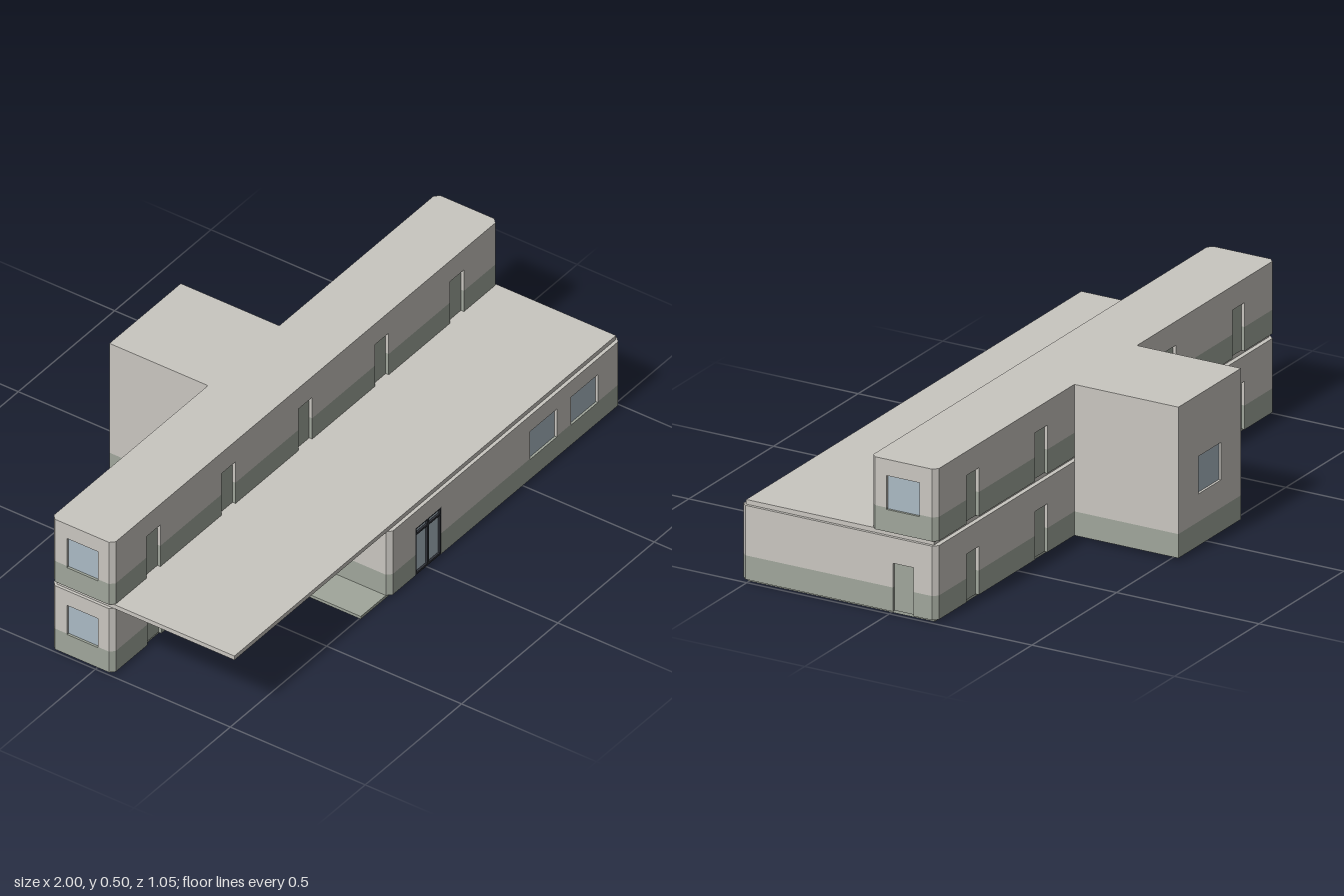
import * as THREE from 'three';

const mat = (name, color) => new THREE.MeshStandardMaterial({ name, color });
const T = 0.015; // wall thickness, also the corner chamfer

// wall facing: rotation, and sign from world axis to the wall's own horizontal axis
const FACE = {
  front: { rot: 0, s: 1, alongX: true },
  back: { rot: Math.PI, s: -1, alongX: true },
  right: { rot: Math.PI / 2, s: -1, alongX: false },
  left: { rot: -Math.PI / 2, s: 1, alongX: false },
};

export function createModel() {
  const plaster = mat('plaster', 0xc9c6c0);
  const green = mat('greenGrey', 0xa0a69b);
  const glass = mat('glass', 0xabbac4);
  const dark = mat('darkFrame', 0x2e3138);

  const model = new THREE.Group();
  model.name = 'building';

  // box given by its limits
  function box(parent, name, m, x0, x1, y0, y1, z0, z1) {
    const mesh = new THREE.Mesh(new THREE.BoxGeometry(x1 - x0, y1 - y0, z1 - z0), m);
    mesh.position.set((x0 + x1) / 2, (y0 + y1) / 2, (z0 + z1) / 2);
    mesh.name = name;
    parent.add(mesh);
    return mesh;
  }

  // runs a builder for the painted base band and for the plaster above it
  function banded(y0, y1, bandTop, build) {
    if (y0 < bandTop) build(green, y0, Math.min(y1, bandTop));
    if (y1 > bandTop) build(plaster, Math.max(y0, bandTop), y1);
  }

  // wall with recessed openings; a0..a1 is its world range, at its outer plane
  function wall(name, face, a0, a1, at, y0, y1, bandTop, openings = []) {
    const { rot, s, alongX } = FACE[face];
    const mid = (a0 + a1) / 2, half = (a1 - a0) / 2;
    const g = new THREE.Group();
    g.name = name;
    g.rotation.y = rot;
    g.position.set(alongX ? mid : at, 0, alongX ? at : mid);
    model.add(g);
    const panel = (u0, u1, v0, v1) => {
      if (u1 - u0 < 1e-4 || v1 - v0 < 1e-4) return;
      banded(v0, v1, bandTop, (m, b, t) => box(g, 'wallPanel', m, u0, u1, b, t, -T, 0));
    };
    let u = -half;
    const list = openings.map(o => ({ ...o, u: s * (o.c - mid) })).sort((a, b) => a.u - b.u);
    for (const o of list) {
      const l = o.u - o.w / 2, r = o.u + o.w / 2;
      panel(u, l, y0, y1);
      panel(l, r, y0, o.y0);
      panel(l, r, o.y1, y1);
      box(g, o.glazed ? 'windowPane' : 'door', o.glazed ? glass : green,
        l, r, o.y0, o.y1, -T, o.glazed ? -0.008 : -0.011);
      u = r;
    }
    panel(u, half, y0, y1);
    return g;
  }

  // chamfered corner whose outer planes meet at x, z
  function corner(x, z, y0, y1, bandTop) {
    const ix = x - Math.sign(x) * T, iz = z - Math.sign(z) * T;
    cornerPost(ix, iz, x, z, y0, y1, bandTop);
  }
  function cornerPost(ix, iz, x, z, y0, y1, bandTop) {
    const shape = new THREE.Shape([[ix, -iz], [x, -iz], [ix, -z]].map(p => new THREE.Vector2(...p)));
    banded(y0, y1, bandTop, (m, b, t) => {
      const geo = new THREE.ExtrudeGeometry(shape, { depth: t - b, bevelEnabled: false });
      geo.rotateX(-Math.PI / 2);
      const post = new THREE.Mesh(geo, m);
      post.position.y = b;
      post.name = 'cornerPost';
      model.add(post);
    });
  }

  const door = (c, base) => ({ c, w: 0.072, y0: base, y1: base + 0.157 });
  const win = (c, w, y0, y1) => ({ c, w, y0, y1, glazed: true });
  const backDoors = base => [-0.785, -0.38, 0.38, 0.785].map(c => door(c, base));

  // ground and roof slabs
  box(model, 'corridorFloor', green, -0.985, 0.985, 0, 0.01, -0.15, 0.05);
  box(model, 'hallFloor', green, -0.33, 0.985, 0, 0.01, 0.05, 0.505);
  box(model, 'lowerRoof', plaster, -0.99, 0.99, 0.25, 0.265, -0.15, 0.508);
  box(model, 'upperRoof', plaster, -0.985, 0.985, 0.485, 0.5, -0.15, 0.05);

  // ground floor
  const G0 = 0.01, G1 = 0.25, GB = 0.088;
  wall('lowerBackWall', 'back', -0.985, 0.985, -0.165, G0, G1, GB, backDoors(G0));
  wall('lowerLeftEndWall', 'left', -0.15, 0.05, -1, G0, G1, GB, [win(-0.048, 0.115, 0.085, 0.195)]);
  wall('corridorFrontWall', 'front', -0.985, -0.185, 0.065, G0, G1, GB, [door(-0.785, G0), door(-0.4, G0)]);
  wall('lowerRightEndWall', 'right', -0.15, 0.505, 1, G0, G1, GB, [door(-0.048, G0)]);
  wall('hallSideWall', 'left', 0.05, 0.505, -0.2, G0, G1, GB);
  const hall = wall('hallFrontWall', 'front', -0.185, 0.985, 0.52, G0, G1, GB, [
    win(0, 0.135, G0, 0.187), win(0.597, 0.138, 0.085, 0.19), win(0.81, 0.138, 0.085, 0.19)]);
  for (const [x, z] of [[1, 0.52], [1, -0.165], [-1, -0.165], [-1, 0.065]]) corner(x, z, G0, G1, GB);
  cornerPost(-0.185, 0.505, -0.2, 0.52, G0, G1, GB);
  box(model, 'lowBlock', green, -0.25, -0.2, 0.01, 0.065, 0.065, 0.11);

  // entrance frame
  const entrance = new THREE.Group();
  entrance.name = 'entranceFrame';
  entrance.position.x = -0.4; // centre of the opening in the hall wall
  hall.add(entrance);
  const bar = (x0, x1, y0, y1) => box(entrance, 'frameBar', dark, x0, x1, y0, y1, -0.009, -0.001);
  for (const x of [-0.0675, -0.004, 0.0615]) bar(x, x + (x === -0.004 ? 0.008 : 0.006), 0.01, 0.187);
  for (const y of [0.01, 0.158, 0.181]) bar(-0.0675, 0.0675, y, y + 0.007);

  // upper floor
  const U0 = 0.265, U1 = 0.5, UB = 0.343;
  wall('upperFrontWall', 'front', -0.985, 0.985, 0.065, U0, U1, UB,
    [-0.79, -0.4, -0.002, 0.395, 0.785].map(c => door(c, U0)));
  wall('upperBackWall', 'back', -0.985, 0.985, -0.165, U0, U1, UB, backDoors(U0));
  for (const [face, x] of [['right', 1], ['left', -1]]) {
    wall(face + 'UpperEndWall', face, -0.15, 0.05, x, U0, U1, UB, [win(-0.048, 0.115, 0.337, 0.447)]);
    corner(x, 0.065, U0, U1, UB);
    corner(x, -0.165, U0, U1, UB);
  }

  // stair tower, open underneath
  wall('towerBackWall', 'back', -0.185, 0.185, -0.53, G0, U1, GB, [win(0, 0.135, 0.178, 0.3)]);
  wall('towerRightWall', 'right', -0.515, -0.165, 0.185, G0, U1, GB);
  wall('towerLeftWall', 'left', -0.515, -0.165, -0.185, G0, U1, GB);
  box(model, 'towerRoof', plaster, -0.17, 0.17, 0.485, 0.5, -0.515, -0.165);

  // two stair flights with a half landing
  const stairs = new THREE.Group();
  stairs.name = 'stairs';
  model.add(stairs);
  const N = 9, run = 0.26 / N, rise = 0.0142;
  for (let i = 0; i < N; i++) {
    const z = -0.17 - i * run, y = 0.01 + i * rise;
    box(stairs, 'lowerStep', plaster, -0.17, -0.01, y, y + rise, z - run, z);
    const z2 = -0.43 + i * run, y2 = 0.138 + i * rise;
    box(stairs, 'upperStep', plaster, 0.01, 0.17, y2, y2 + rise, z2, z2 + run);
  }
  box(stairs, 'landing', plaster, -0.17, 0.17, 0.124, 0.138, -0.515, -0.43);

  return model;
}
